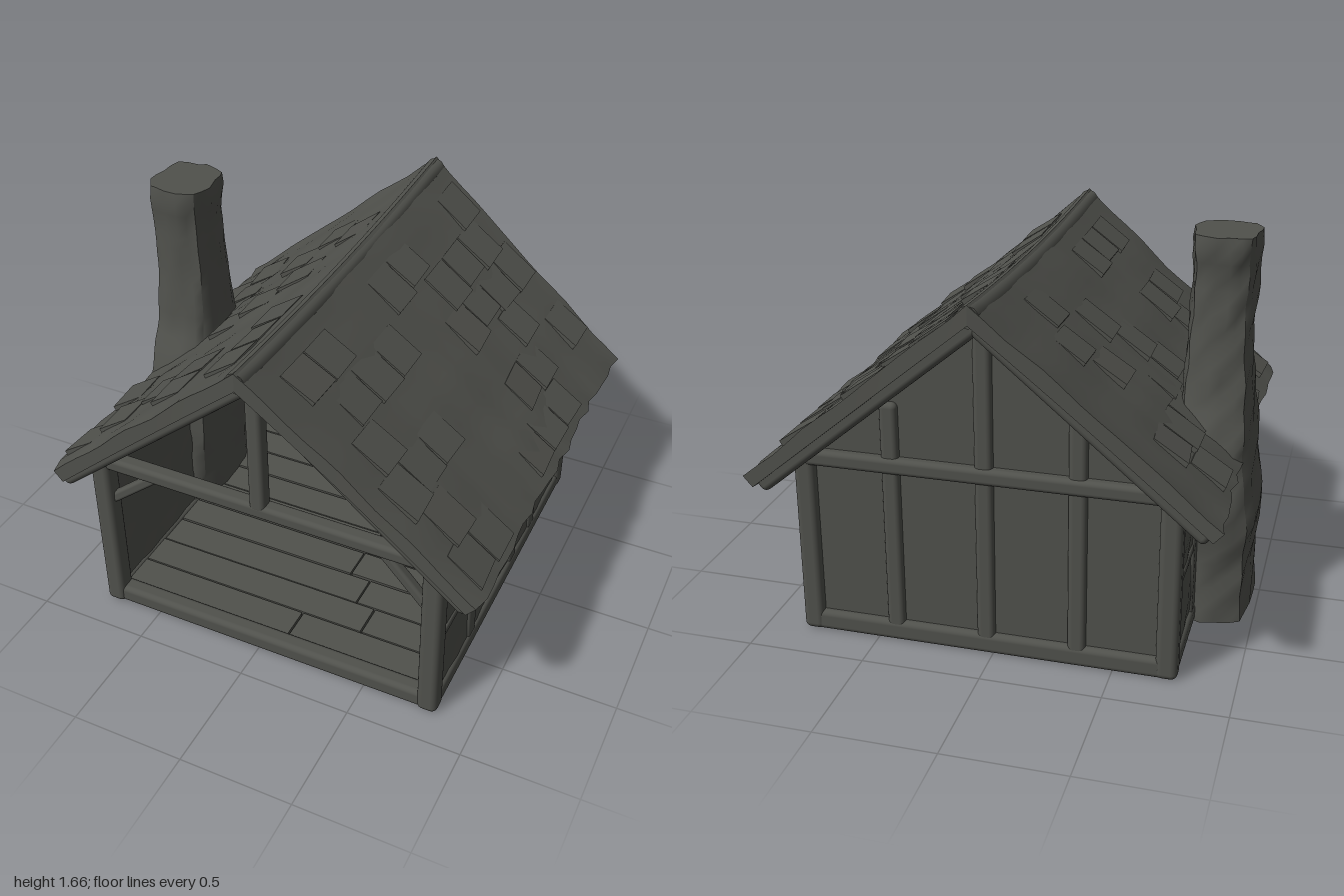
import * as THREE from 'three';
import { RoundedBoxGeometry } from 'three/addons/geometries/RoundedBoxGeometry.js';

const timberStone = new THREE.MeshStandardMaterial({ color: 0x50514c });
timberStone.name = 'weathered dark grey';

const RIDGE = { x: 0.03, y: 1.55 };
const lerp = THREE.MathUtils.lerp;
// seeded random for the shingles
let seed = 7;
const rnd = () => (seed = (seed * 16807) % 2147483647) / 2147483647;
// smooth position-based unevenness, equal for shared corners
const bump = (a, b, c) => Math.sin(a * 17 + b * 11 + 1) * Math.sin(b * 19 - c * 13) + 0.5 * Math.sin(c * 31 + a * 23 + b * 7);

function add(parent, name, geometry, x = 0, y = 0, z = 0) {
  const m = new THREE.Mesh(geometry, timberStone);
  m.name = name;
  m.position.set(x, y, z);
  parent.add(m);
  return m;
}

// move every vertex by a rule, then rebuild normals
function warp(geometry, rule) {
  const p = geometry.attributes.position, v = new THREE.Vector3();
  for (let i = 0; i < p.count; i++) {
    rule(v.fromBufferAttribute(p, i));
    p.setXYZ(i, v.x, v.y, v.z);
  }
  geometry.computeVertexNormals();
  return geometry;
}

// rounded timber between two points
function beam(parent, name, a, b, w, d = w) {
  const A = new THREE.Vector3(...a), B = new THREE.Vector3(...b);
  const dir = B.clone().sub(A), len = dir.length();
  const m = add(parent, name, new RoundedBoxGeometry(w, len, d, 3, Math.min(w, d) * 0.3));
  m.position.copy(A).lerp(B, 0.5);
  m.quaternion.setFromUnitVectors(new THREE.Vector3(0, 1, 0), dir.normalize());
  return m;
}

// point on the upper face of a roof slope: u 0 ridge to 1 eave, v -1 back to 1 front
function roofPoint(s, u, v, target) {
  const eave = s > 0 ? 1.0 : -0.92;
  const z = v * (0.915 + 0.053 * (1 - u) ** 2);
  target.set(lerp(RIDGE.x, eave, u), lerp(RIDGE.y, 0.73, u) - 0.03 * (1 - v * v) * (1 - u), z);
  target.x += s * 0.012 * u * bump(v * 0.9, 0.3, v * 0.6);
  return target;
}

function buildRoof(parent) {
  const roof = new THREE.Group();
  roof.name = 'roof';
  parent.add(roof);
  const q = new THREE.Vector3();
  for (const s of [-1, 1]) {
    const side = s > 0 ? 'left' : 'right';
    // slab
    add(roof, side + 'RoofSlope', warp(new THREE.BoxGeometry(1, 1, 1, 14, 1, 24), (p) => {
      const u = 0.5 + s * p.x, below = p.y < 0;
      roofPoint(s, u, p.z * 2, q);
      if (below) {
        q.x -= s * 0.04 * u;
        q.y -= lerp(0.08, 0.045, u);
      } else if (u > 0.02 && u < 0.98) q.y += 0.006 * bump(p.x, p.z, 0.4);
      p.copy(q);
    }));
    // slightly lifted shingles
    for (let row = 0; row < 6; row++) {
      for (let col = 0; col < 9; col++) {
        if (rnd() < 0.55) continue;
        const u0 = 0.1 + row * 0.145, u1 = u0 + 0.13 + rnd() * 0.03;
        const v0 = -0.96 + (col + (row % 2) * 0.4) * 0.2, v1 = Math.min(v0 + 0.19, 0.98);
        const lift = 0.008 + rnd() * 0.012;
        add(roof, 'shingle', warp(new THREE.BoxGeometry(1, 1, 1), (p) => {
          const t = 0.5 + s * p.x, top = p.y > 0;
          roofPoint(s, lerp(u0, u1, t), lerp(v0, v1, p.z + 0.5), q);
          const h = top ? lerp(0.002, lift, t) : -0.02;
          p.set(q.x + s * h * 0.6, q.y + h, q.z);
        }));
      }
    }
    // gable rafters
    for (const z of [-0.865, 0.865]) {
      beam(roof, side + 'Rafter', [RIDGE.x, 1.455, z], [s > 0 ? 0.955 : -0.88, 0.69, z], 0.085, 0.09);
    }
    // wall plate under the eave
    beam(roof, side + 'WallPlate', [s > 0 ? 0.785 : -0.715, 0.78, -0.8], [s > 0 ? 0.785 : -0.715, 0.78, 0.82], 0.07);
  }
  // ridge cap
  const cap = new THREE.CylinderGeometry(0.045, 0.045, 1.92, 10, 16);
  cap.rotateX(Math.PI / 2);
  add(roof, 'ridgeCap', warp(cap, (p) => {
    p.y += 1.495 + 0.03 * (p.z / 0.96) ** 2 - 0.025;
    p.x += RIDGE.x;
  }));
}

function buildWalls(parent) {
  const walls = new THREE.Group();
  walls.name = 'walls';
  parent.add(walls);
  // side walls with faint studs and rail
  for (const [side, x, s] of [['left', 0.795, 1], ['right', -0.725, -1]]) {
    add(walls, side + 'Wall', warp(new THREE.BoxGeometry(0.04, 0.8, 1.6, 1, 10, 20), (p) => {
      p.x += 0.004 * bump(p.y, p.z, 0.2);
    }), x, 0.4, 0.02);
    const outer = x + s * 0.008;
    for (const z of [-0.36, -0.1, 0.42]) beam(walls, side + 'Stud', [outer, 0.03, z], [outer, 0.79, z], 0.045, 0.08);
    beam(walls, side + 'Rail', [outer, 0.38, -0.78], [outer, 0.38, 0.82], 0.035, 0.04);
    beam(walls, side + 'Sill', [x, 0.04, -0.8], [x, 0.04, 0.84], 0.07, 0.08);
    // corner posts
    for (const z of [-0.78, 0.815]) beam(walls, side + 'CornerPost', [x - s * 0.005, 0, z], [x - s * 0.005, 0.82, z], 0.09);
  }
  // back wall with gable
  const shape = new THREE.Shape([[-0.74, 0], [0.81, 0], [0.81, 0.79], [RIDGE.x, 1.45], [-0.74, 0.79]].map((p) => new THREE.Vector2(...p)));
  add(walls, 'backWall', new THREE.ExtrudeGeometry(shape, { depth: 0.04, bevelEnabled: false }), 0, 0, -0.79);
  for (const x of [-0.35, 0.03, 0.42]) {
    const top = 1.4 - Math.abs(x - RIDGE.x) * 0.85;
    beam(walls, 'backStud', [x, 0.03, -0.78], [x, top, -0.78], 0.075, 0.075);
  }
  beam(walls, 'backTieBeam', [-0.72, 0.8, -0.785], [0.79, 0.8, -0.785], 0.07, 0.09);
  beam(walls, 'backSill', [-0.73, 0.045, -0.78], [0.8, 0.045, -0.78], 0.09, 0.08);
}

function buildFront(parent) {
  const front = new THREE.Group();
  front.name = 'openFrontFrame';
  parent.add(front);
  beam(front, 'frontTieBeam', [-0.69, 0.8, 0.82], [0.77, 0.8, 0.82], 0.065, 0.07);
  beam(front, 'kingPost', [RIDGE.x, 0.8, 0.82], [RIDGE.x, 1.42, 0.82], 0.07);
  beam(front, 'frontSill', [-0.72, 0.045, 0.81], [0.8, 0.045, 0.81], 0.085, 0.08);
  beam(front, 'rightBrace', [-0.69, 0.59, 0.81], [-0.46, 0.78, 0.81], 0.045);
  beam(front, 'leftBrace', [0.77, 0.55, 0.81], [0.56, 0.78, 0.81], 0.045);
}

function buildFloor(parent) {
  add(parent, 'floorSlab', new THREE.BoxGeometry(1.53, 0.05, 1.6), 0.035, 0.025, 0.02);
  // planks of uneven length laid along x
  for (let i = 0; i < 10; i++) {
    const z = -0.69 + i * 0.155, split = -0.35 + rnd() * 0.8;
    for (const [a, b] of [[-0.7, split - 0.004], [split + 0.004, 0.77]]) {
      add(parent, 'floorPlank', new THREE.BoxGeometry(b - a, 0.02, 0.147), (a + b) / 2, 0.056 + rnd() * 0.006, z);
    }
  }
}

function buildChimney(parent) {
  // height, x range, z range
  const rings = [
    [0, -0.975, -0.64, -0.34, 0.19], [0.25, -0.965, -0.63, -0.33, 0.18], [0.48, -0.99, -0.62, -0.36, 0.19],
    [0.7, -0.955, -0.62, -0.33, 0.17], [0.86, -0.945, -0.62, -0.3, 0.13], [0.98, -0.93, -0.635, -0.26, 0.08],
    [1.25, -0.91, -0.65, -0.23, 0.055], [1.5, -0.92, -0.66, -0.22, 0.05], [1.62, -0.925, -0.65, -0.245, 0.065],
    [1.665, -0.92, -0.655, -0.235, 0.055],
  ];
  add(parent, 'chimney', warp(new THREE.BoxGeometry(1, 1, 1, 5, 30, 5), (p) => {
    const y = (p.y + 0.5) * 1.665;
    let i = 0;
    while (i < rings.length - 2 && y > rings[i + 1][0]) i++;
    const a = rings[i], b = rings[i + 1], t = (y - a[0]) / (b[0] - a[0]);
    const [x0, x1, z0, z1] = [1, 2, 3, 4].map((k) => lerp(a[k], b[k], t));
    const n = 0.009 * bump(p.x * 0.6, y, p.z * 0.6);
    // soften the corners a little
    const round = 1 - 0.18 * (2 * p.x) ** 2 * (2 * p.z) ** 2;
    p.set(lerp(x0, x1, 0.5 + p.x * round) + n, y, lerp(z0, z1, 0.5 + p.z * round) + n);
  }));
}

function buildFireplace(parent) {
  const fire = new THREE.Group();
  fire.name = 'fireplace';
  parent.add(fire);
  // body outline with an arched mouth
  const s = new THREE.Shape([[-0.23, 0.12], [-0.21, 0.32], [-0.17, 0.38], [-0.15, 0.45], [-0.11, 0.61], [0.16, 0.61], [0.2, 0.45],
    [0.25, 0.38], [0.29, 0.3], [0.3, 0.12], [0.17, 0.12], [0.17, 0.27]].map((p) => new THREE.Vector2(...p)));
  s.quadraticCurveTo(0.03, 0.31, -0.11, 0.26);
  s.lineTo(-0.11, 0.12);
  add(fire, 'fireplaceBody', new THREE.ExtrudeGeometry(s, { depth: 0.26, bevelEnabled: true, bevelSize: 0.012, bevelThickness: 0.015, bevelSegments: 2 }), 0, 0, -0.75);
  add(fire, 'mantelCap', new RoundedBoxGeometry(0.29, 0.04, 0.28, 2, 0.012), 0.03, 0.615, -0.62);
  add(fire, 'hearth', new RoundedBoxGeometry(0.7, 0.08, 0.42, 2, 0.02), 0.055, 0.1, -0.55);
}

export function createModel() {
  const house = new THREE.Group();
  house.name = 'timberHouse';
  buildFloor(house);
  buildWalls(house);
  buildFront(house);
  buildRoof(house);
  buildChimney(house);
  buildFireplace(house);
  return house;
}
